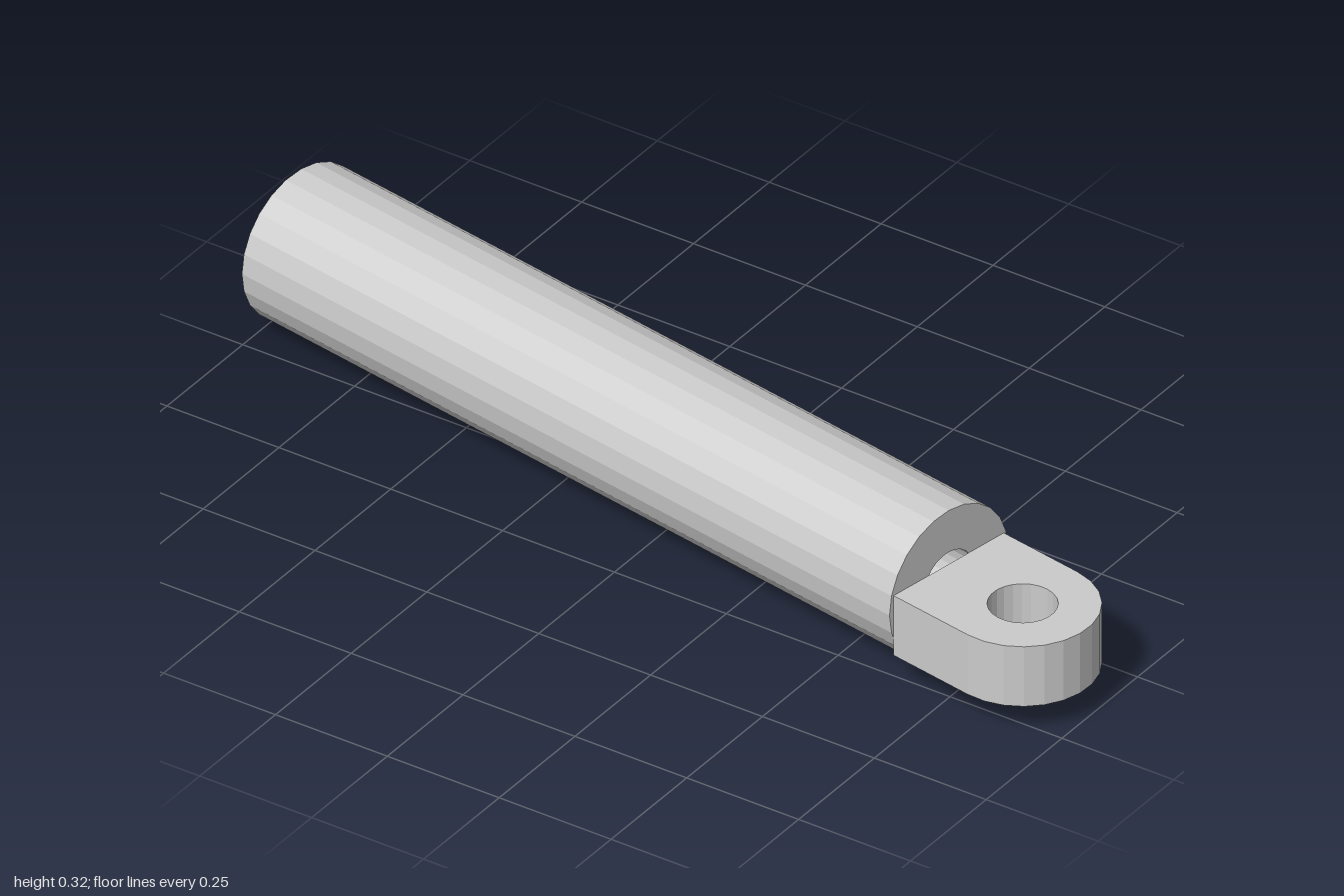
import * as THREE from 'three';

const material = new THREE.MeshStandardMaterial({ color: 0xcccccc, flatShading: true });

// Points along an arc, in 15 degree steps
function arc(cx, radius, start, steps) {
  return Array.from({ length: steps }, (_, i) => {
    const a = start + (i * Math.PI) / 12;
    return new THREE.Vector2(cx + radius * Math.cos(a), radius * Math.sin(a));
  });
}

function extrude(outline, hole, depth) {
  const shape = new THREE.Shape(outline);
  shape.holes.push(new THREE.Path(hole));
  return new THREE.ExtrudeGeometry(shape, { depth, bevelEnabled: false });
}

export function createModel() {
  const model = new THREE.Group();
  model.name = 'rodEnd';

  const length = 1.663, radius = 0.158, boreRadius = 0.066;
  const eyeX = 1.853, lugRadius = 0.147, lugTop = 0.197, lugHeight = 0.132;

  // Hollow tube along local x, starting at the origin
  const tubeGeometry = extrude(arc(0, radius, 0, 24), arc(0, boreRadius, 0, 24), length);
  tubeGeometry.rotateY(Math.PI / 2).translate(0, radius, 0);
  const tube = new THREE.Mesh(tubeGeometry, material);
  tube.name = 'tube';

  // Round-ended lug with a vertical eye, standing against the tube's end face
  const outline = [
    new THREE.Vector2(length, -lugRadius),
    ...arc(eyeX, lugRadius, -Math.PI / 2, 13),
    new THREE.Vector2(length, lugRadius),
  ];
  const lugGeometry = extrude(outline, arc(eyeX, boreRadius, 0, 24), lugHeight);
  lugGeometry.rotateX(Math.PI / 2).translate(0, lugTop, 0);
  const lug = new THREE.Mesh(lugGeometry, material);
  lug.name = 'eyeLug';

  // The whole part lies slightly turned about the vertical
  model.add(tube, lug);
  model.rotation.y = -0.171;
  model.position.set(-0.973, 0, -0.153);
  return model;
}
